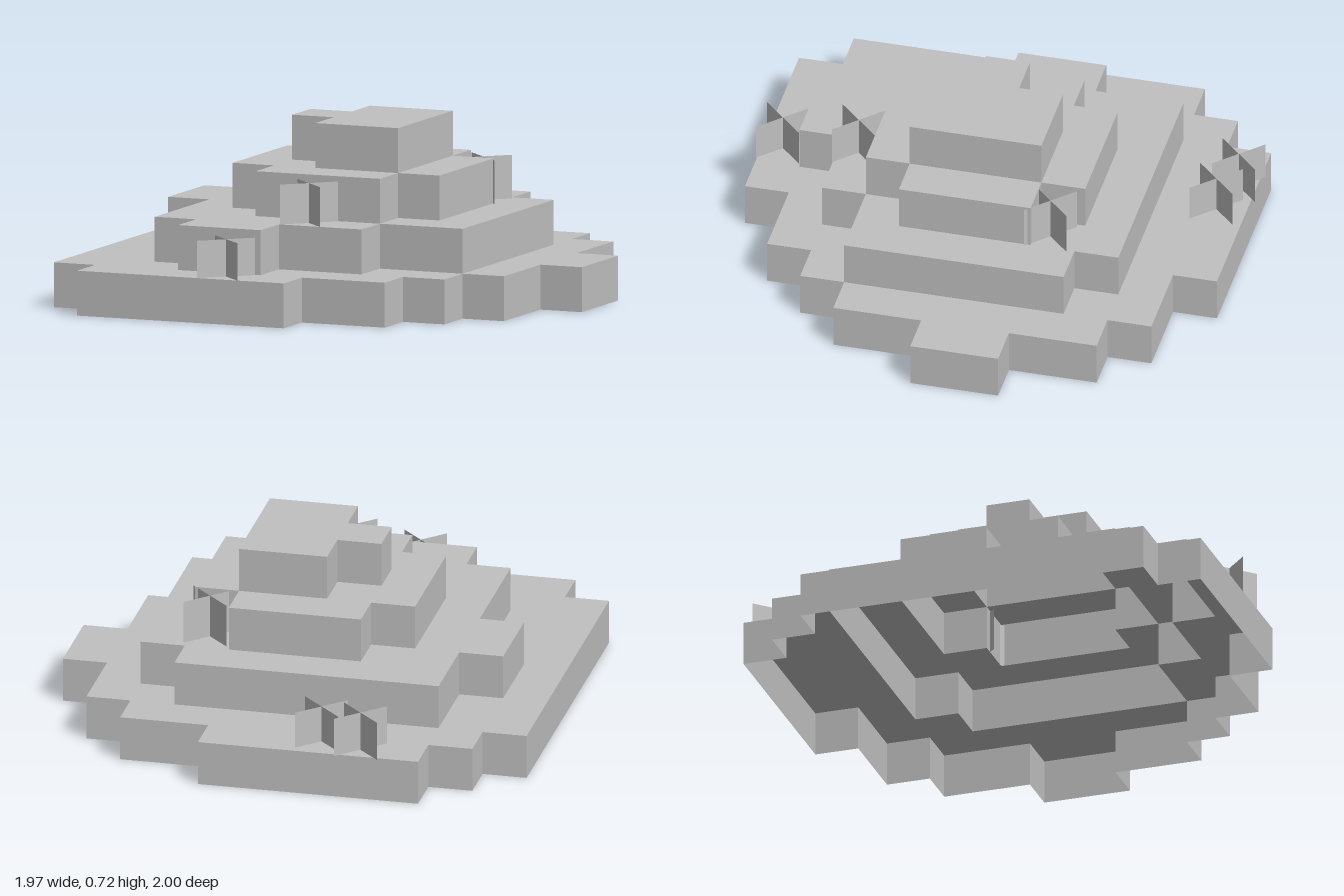
import * as THREE from 'three';

const CELL = 0.1795, STEP = 0.18, X0 = -0.99, Z0 = -0.98, SIZE = 11;

// Each tier: first grid row, then [start, end) columns for every row, back to front
const TIERS = [
  { row: 0, spans: [[2, 7], [1, 9], [0, 10], [0, 10], [0, 11], [0, 11], [0, 10], [0, 10], [0, 9], [0, 8], [1, 6]] },
  { row: 2, spans: [[2, 8], [2, 9], [1, 9], [1, 9], [2, 9], [2, 9], [2, 7], [3, 5]] },
  { row: 3, spans: [[4, 7], [3, 8], [3, 8], [3, 8], [4, 7]] },
  { row: 4, spans: [[5, 7], [4, 7], [5, 7]] },
];

// Plants: centre x, base y, centre z, height
const PLANTS = [
  [-0.2, 0.18, 0.91, 0.15],
  [0, 0.36, 0.55, 0.16],
  [0.37, 0.36, -0.325, 0.175],
  [-0.38, 0.18, -0.91, 0.16],
  [-0.21, 0.18, -0.86, 0.15],
];

function inside(level, i, j) {
  const tier = TIERS[level];
  const span = tier && tier.spans[j - tier.row];
  return !!span && i >= span[0] && i < span[1];
}

// Open shell of one tier: exposed top cells and the stepped outer wall
function tierGeometry(level) {
  const pos = [];
  const y0 = level * STEP, y1 = y0 + STEP;
  const quad = (a, b, c, d) => pos.push(...a, ...b, ...c, ...a, ...c, ...d);
  const wall = (xa, za, xb, zb) => quad([xa, y0, za], [xb, y0, zb], [xb, y1, zb], [xa, y1, za]);
  for (let j = 0; j < SIZE; j++) {
    for (let i = 0; i < SIZE; i++) {
      if (!inside(level, i, j)) continue;
      const xa = X0 + i * CELL, xb = xa + CELL;
      const za = Z0 + j * CELL, zb = za + CELL;
      if (!inside(level + 1, i, j)) quad([xa, y1, zb], [xb, y1, zb], [xb, y1, za], [xa, y1, za]);
      if (!inside(level, i, j + 1)) wall(xa, zb, xb, zb);
      if (!inside(level, i, j - 1)) wall(xb, za, xa, za);
      if (!inside(level, i + 1, j)) wall(xb, zb, xb, za);
      if (!inside(level, i - 1, j)) wall(xa, za, xa, zb);
    }
  }
  const geo = new THREE.BufferGeometry();
  geo.setAttribute('position', new THREE.Float32BufferAttribute(pos, 3));
  geo.computeVertexNormals();
  return geo;
}

export function createModel() {
  const model = new THREE.Group();
  model.name = 'terracedHill';
  const grey = new THREE.MeshStandardMaterial({ color: 0xc0c0c0, side: THREE.DoubleSide });
  grey.name = 'plain grey';

  // Hollow stepped hill
  TIERS.forEach((_, level) => {
    const mesh = new THREE.Mesh(tierGeometry(level), grey);
    mesh.name = `hillTier${level + 1}`;
    model.add(mesh);
  });

  // Plants made of two diagonal crossed sheets
  PLANTS.forEach(([x, y, z, height], n) => {
    const plant = new THREE.Group();
    plant.name = `plant${n + 1}`;
    for (const side of [-1, 1]) {
      const sheet = new THREE.Mesh(new THREE.PlaneGeometry(0.175 * Math.SQRT2, height), grey);
      sheet.name = side < 0 ? 'leafSheetA' : 'leafSheetB';
      sheet.position.y = height / 2;
      sheet.rotation.y = side * Math.PI / 4;
      plant.add(sheet);
    }
    plant.position.set(x, y, z);
    model.add(plant);
  });
  return model;
}
